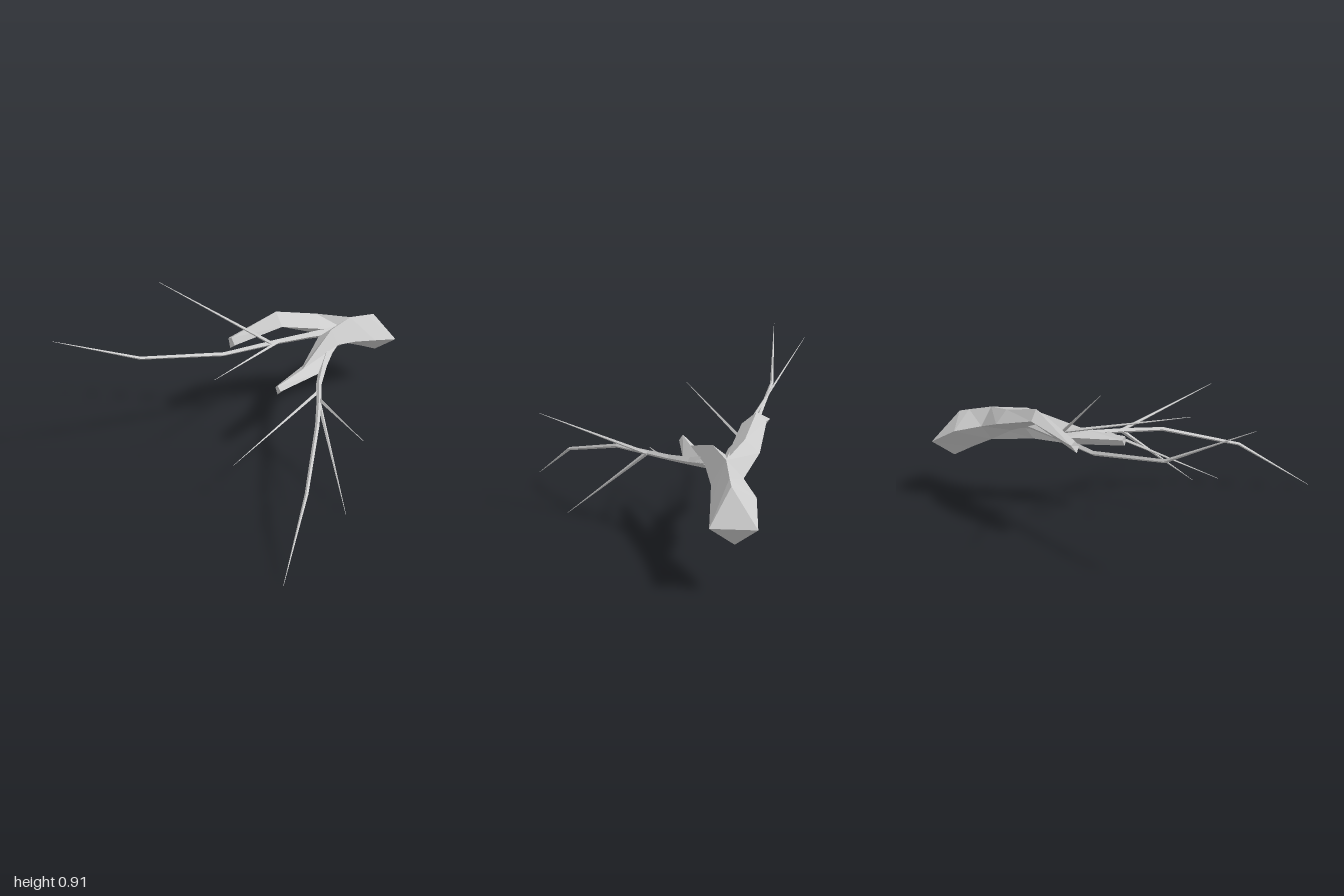
import * as THREE from 'three';

const material = new THREE.MeshStandardMaterial({ color: 0xcccccc, flatShading: true });

// Skin a list of four-cornered rings (top, left, bottom, right) and cap both ends
function loft(name, rings) {
  const pos = rings.flat(2);
  const index = [];
  for (let r = 0; r < rings.length - 1; r++) {
    for (let i = 0; i < 4; i++) {
      const j = (i + 1) % 4;
      const a = r * 4 + i, b = r * 4 + j, c = b + 4, d = a + 4;
      index.push(a, b, c, a, c, d);
    }
  }
  const e = (rings.length - 1) * 4;
  index.push(0, 3, 1, 1, 3, 2, e, e + 1, e + 3, e + 1, e + 2, e + 3);
  const indexed = new THREE.BufferGeometry();
  indexed.setAttribute('position', new THREE.Float32BufferAttribute(pos, 3));
  indexed.setIndex(index);
  const geometry = indexed.toNonIndexed();
  geometry.computeVertexNormals();
  const mesh = new THREE.Mesh(geometry, material);
  mesh.name = name;
  return mesh;
}

// Thin tapering twig along points [x, y, z, radius]
function twig(name, path) {
  const pts = path.map(p => new THREE.Vector3(p[0], p[1], p[2]));
  const rings = pts.map((p, i) => {
    const before = pts[Math.max(i - 1, 0)], after = pts[Math.min(i + 1, pts.length - 1)];
    const t = new THREE.Vector3();
    if (before !== p) t.add(p.clone().sub(before).normalize());
    if (after !== p) t.add(after.clone().sub(p).normalize());
    t.normalize();
    const left = t.clone().cross(new THREE.Vector3(0, 1, 0)).normalize();
    const up = left.clone().cross(t);
    const r = path[i][3];
    return [[up, r], [left, r], [up, -r], [left, -r]].map(([v, s]) => p.clone().addScaledVector(v, s).toArray());
  });
  return loft(name, rings);
}

export function createModel() {
  const group = new THREE.Group();
  group.name = 'branch';

  // Thick stem, cut off at the back
  group.add(loft('stem', [
    [[-0.41, 0.49, -0.9], [-0.53, 0.33, -1], [-0.43, 0.237, -0.94], [-0.32, 0.33, -1]],
    [[-0.40, 0.507, -0.84], [-0.52, 0.42, -0.84], [-0.415, 0.305, -0.82], [-0.317, 0.377, -0.84]],
    [[-0.38, 0.545, -0.7], [-0.46, 0.46, -0.7], [-0.40, 0.373, -0.69], [-0.313, 0.42, -0.69]],
  ]));

  // The two stubby limbs of the fork
  group.add(loft('rightLimb', [
    [[-0.38, 0.545, -0.7], [-0.46, 0.46, -0.7], [-0.40, 0.373, -0.69], [-0.36, 0.46, -0.69]],
    [[-0.46, 0.59, -0.52], [-0.53, 0.53, -0.53], [-0.45, 0.48, -0.5], [-0.39, 0.53, -0.5]],
    [[-0.51, 0.657, -0.28], [-0.56, 0.61, -0.27], [-0.50, 0.585, -0.26], [-0.44, 0.595, -0.27]],
    [[-0.55, 0.565, -0.01], [-0.58, 0.55, -0.01], [-0.55, 0.505, 0], [-0.52, 0.53, -0.01]],
  ]));
  group.add(loft('leftLimb', [
    [[-0.38, 0.545, -0.7], [-0.43, 0.46, -0.7], [-0.40, 0.373, -0.69], [-0.313, 0.42, -0.69]],
    [[-0.31, 0.557, -0.51], [-0.385, 0.49, -0.48], [-0.34, 0.41, -0.45], [-0.275, 0.47, -0.53]],
    [[-0.19, 0.462, -0.22], [-0.265, 0.43, -0.28], [-0.235, 0.383, -0.29], [-0.16, 0.42, -0.31]],
    [[-0.138, 0.457, -0.02], [-0.16, 0.44, -0.02], [-0.14, 0.405, -0.02], [-0.12, 0.43, -0.025]],
  ]));

  // Long twig and its side shoots on the right
  group.add(twig('rightTwig', [
    [-0.38, 0.49, -0.6, 0.03], [-0.40, 0.51, -0.42, 0.02], [-0.44, 0.512, -0.25, 0.016],
    [-0.51, 0.508, 0.07, 0.012], [-0.59, 0.605, 0.53, 0.009], [-0.6, 0.852, 0.99, 0.001],
  ]));
  group.add(twig('rightShootOuter', [[-0.44, 0.515, -0.2, 0.011], [-0.75, 0.91, 0.3, 0.001]]));
  group.add(twig('rightShootInner', [[-0.44, 0.515, -0.26, 0.011], [-0.13, 0.64, 0.37, 0.001]]));

  // Long twig and its side shoots on the left
  group.add(twig('leftTwig', [
    [-0.29, 0.46, -0.48, 0.03], [-0.2, 0.43, -0.37, 0.02], [-0.09, 0.408, -0.255, 0.015],
    [0.04, 0.402, -0.155, 0.013], [0.2, 0.39, -0.02, 0.011], [0.5, 0.275, 0.275, 0.009],
    [0.735, 0.03, 0.585, 0.001],
  ]));
  group.add(twig('leftShootInner', [[-0.04, 0.405, -0.22, 0.011], [0.075, 0.255, 0.41, 0.001]]));
  group.add(twig('leftShootUpper', [[0.03, 0.4, -0.17, 0.011], [0.61, 0.54, 0.025, 0.001]]));
  group.add(twig('leftShootLower', [[0.03, 0.4, -0.16, 0.011], [0.47, 0.005, 0, 0.001]]));

  return group;
}
